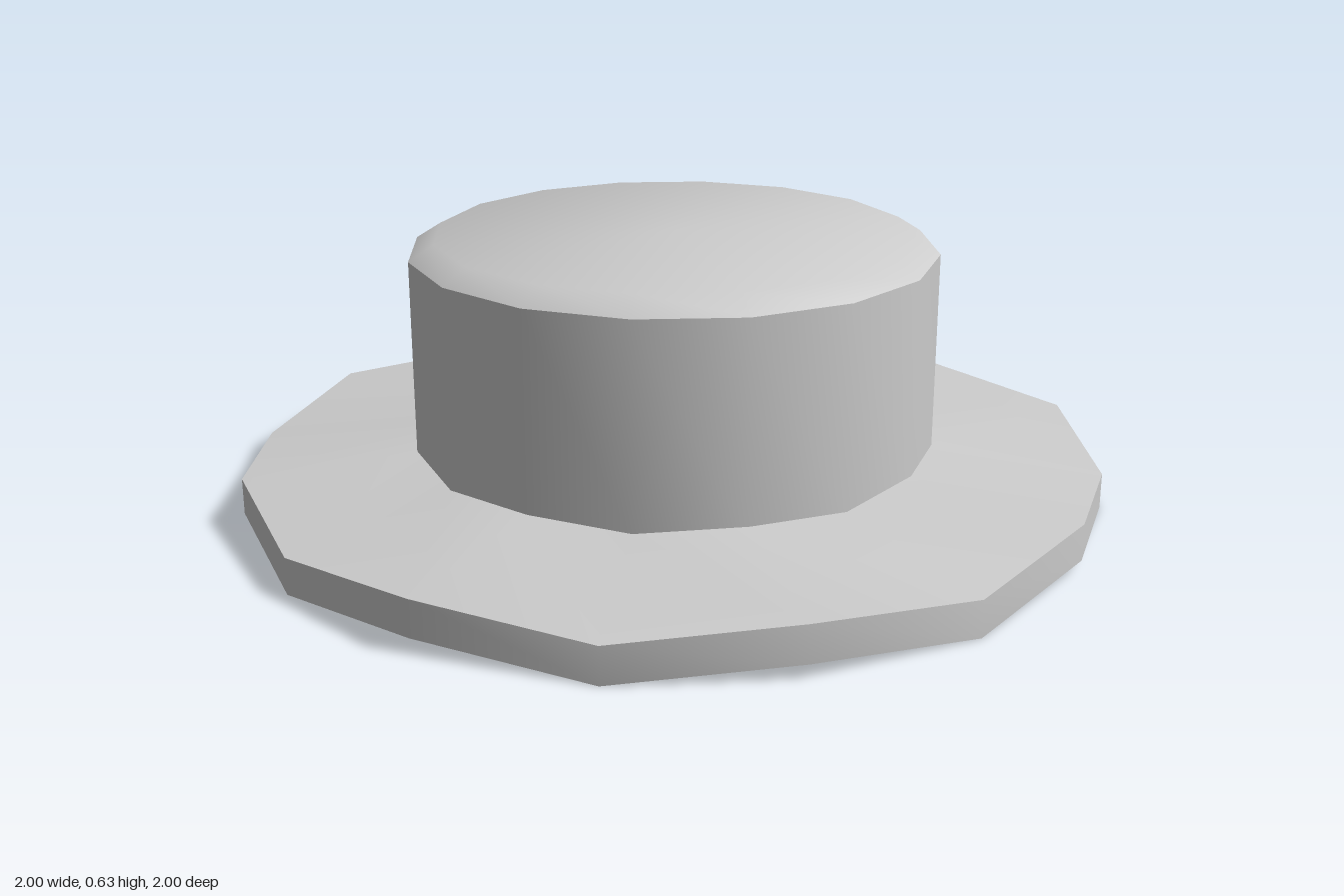
import * as THREE from 'three';
import { toCreasedNormals } from 'three/addons/utils/BufferGeometryUtils.js';

const SIDES = 16;

// Turned profile of [radius, y, lift]; lift raises every second column for a wavy edge
function turned(name, profile, material) {
  const geometry = new THREE.LatheGeometry(profile.map(([r, y]) => new THREE.Vector2(r, y)), SIDES);
  const pos = geometry.attributes.position;
  for (let i = 0; i < pos.count; i++) {
    const column = Math.floor(i / profile.length);
    const lift = profile[i % profile.length][2] || 0;
    if (column % 2) pos.setY(i, pos.getY(i) + lift);
  }
  const mesh = new THREE.Mesh(toCreasedNormals(geometry, 0.6), material);
  mesh.name = name;
  return mesh;
}

export function createModel() {
  const hat = new THREE.Group();
  hat.name = 'hat';
  const felt = new THREE.MeshStandardMaterial({ color: 0xcccccc });

  // Wavy brim: shallow hollow underside, thin edge, top rising to the crown
  hat.add(turned('brim', [
    [0, 0.04], [1, 0, 0.033], [1, 0.083, 0.033], [0.6, 0.136, 0.01],
  ], felt));

  // Straight crown with a bevelled flat top, sunk slightly into the brim
  hat.add(turned('crown', [
    [0.607, 0.12], [0.607, 0.592], [0.55, 0.628], [0, 0.628],
  ], felt));

  return hat;
}
